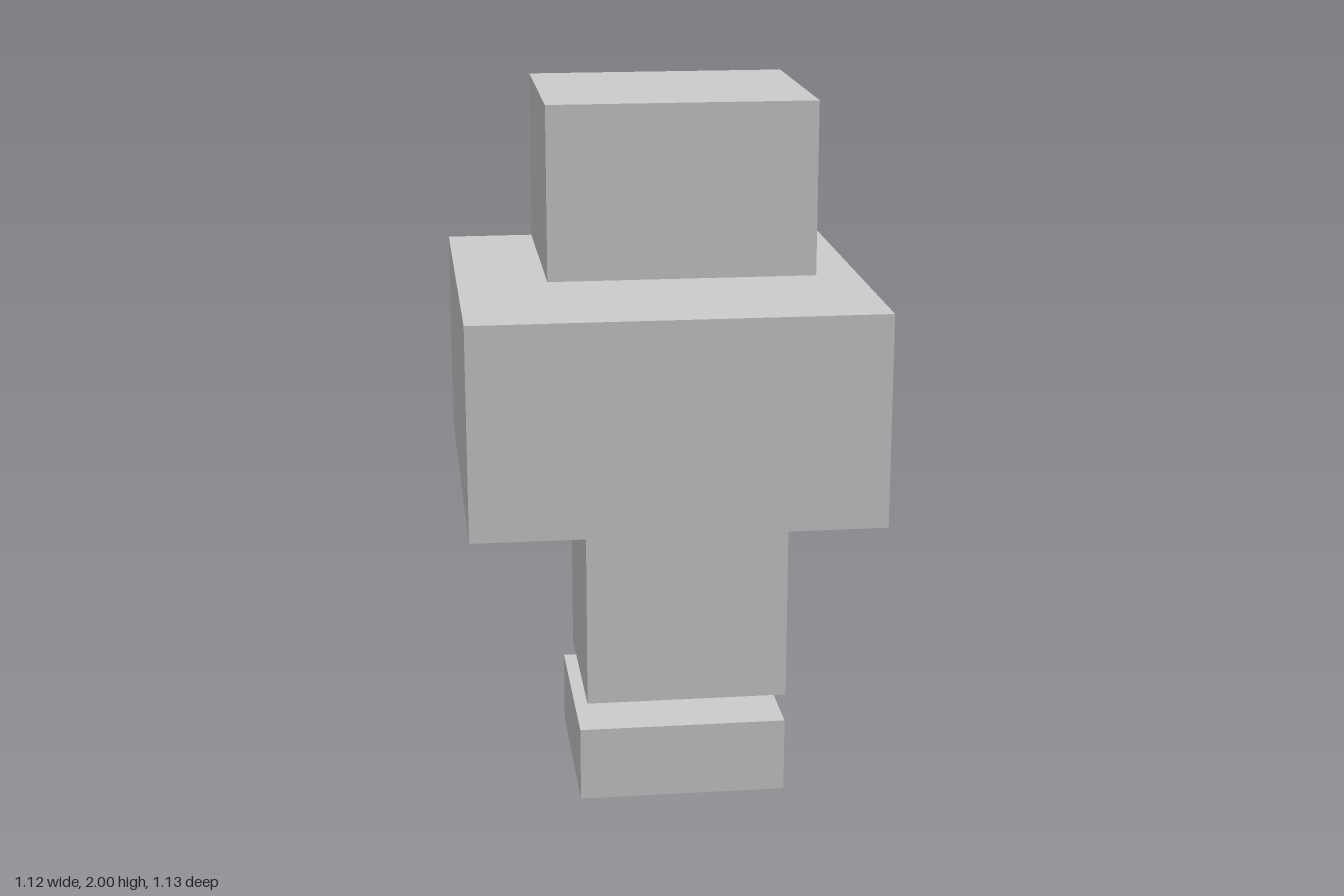
import * as THREE from 'three';

export function createModel() {
  const group = new THREE.Group();
  const grey = new THREE.MeshStandardMaterial({ color: 0xcccccc });
  grey.name = 'light grey';

  // One block from its lower and upper corners
  function block(name, [x0, y0, z0], [x1, y1, z1]) {
    const mesh = new THREE.Mesh(new THREE.BoxGeometry(x1 - x0, y1 - y0, z1 - z0), grey);
    mesh.position.set((x0 + x1) / 2, (y0 + y1) / 2, (z0 + z1) / 2);
    mesh.name = name;
    group.add(mesh);
  }

  // Four stacked, offset blocks from bottom to top
  block('baseBlock', [-0.24, 0, -0.409], [0.355, 0.215, 0.174]);
  block('columnBlock', [-0.202, 0.215, -0.525], [0.391, 0.93, -0.016]);
  block('wideBlock', [-0.559, 0.93, -0.567], [0.556, 1.514, 0.567]);
  block('topBlock', [-0.311, 1.514, -0.551], [0.438, 2, 0.087]);

  return group;
}
